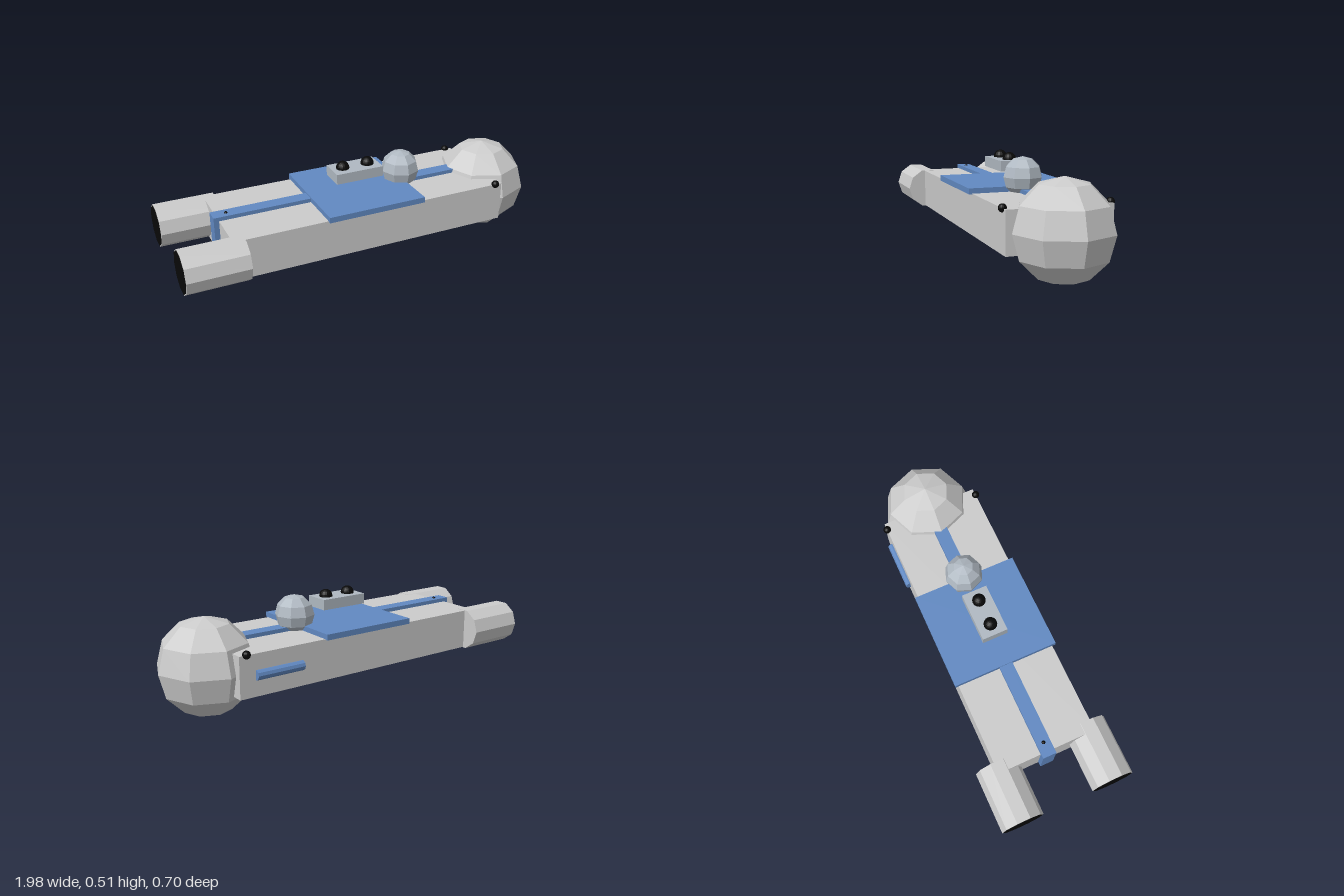
import * as THREE from 'three';

export function createModel() {
  const root = new THREE.Group();
  const paint = (color) => new THREE.MeshStandardMaterial({ color, flatShading: true });
  const grey = paint(0xcccccc);
  const paleGrey = paint(0xb0b9c2);
  const blue = paint(0x6189c2);
  const black = paint(0x080808);

  const add = (name, geometry, material, x, y, z) => {
    const mesh = new THREE.Mesh(geometry, material);
    mesh.name = name;
    mesh.position.set(x, y, z);
    root.add(mesh);
    return mesh;
  };
  const ball = (r, w = 8, h = 6) => new THREE.SphereGeometry(r, w, h);
  // Cylinder lying along the x axis
  const rod = (r, length, sides) =>
    new THREE.CylinderGeometry(r, r, length, sides).rotateZ(Math.PI / 2);

  // Hull with the bulbous nose at +x
  add('hull', new THREE.BoxGeometry(1.46, 0.205, 0.516), grey, -0.005, 0.2425, 0);
  add('nose', ball(0.24), grey, 0.757, 0.243, 0);

  // Blue spine running through the hull, and the deck plate across it
  add('spine', new THREE.BoxGeometry(1.51, 0.21, 0.07), blue, -0.006, 0.26, 0);
  add('deckPlate', new THREE.BoxGeometry(0.516, 0.029, 0.55), blue, -0.003, 0.3565, 0);

  // Turret block with two dark domes, and the faceted dome beside it
  add('turretBlock', new THREE.BoxGeometry(0.255, 0.053, 0.132), paleGrey, -0.003, 0.454, 0);
  for (const x of [-0.071, 0.066]) add('turretDome', ball(0.034, 16, 12), black, x, 0.484, 0);
  add('sensorDome', ball(0.1), paleGrey, 0.257, 0.417, 0);

  // Paired engines with dark exhausts, and lamps on the front corners
  for (const side of [1, -1]) {
    add('engine', rod(0.11, 0.308, 10), grey, -0.831, 0.242, side * 0.242);
    add('exhaust', rod(0.105, 0.004, 10), black, -0.985, 0.242, side * 0.242);
    add('cornerLamp', ball(0.02, 16, 12), black, 0.687, 0.347, side * 0.258);
  }

  // Small stud on the rear of the spine, and a rod let into the back side
  add('spineStud', ball(0.01, 12, 8), black, -0.69, 0.362, 0);
  add('sideRod', rod(0.025, 0.255, 10), blue, 0.513, 0.243, -0.258);

  return root;
}
